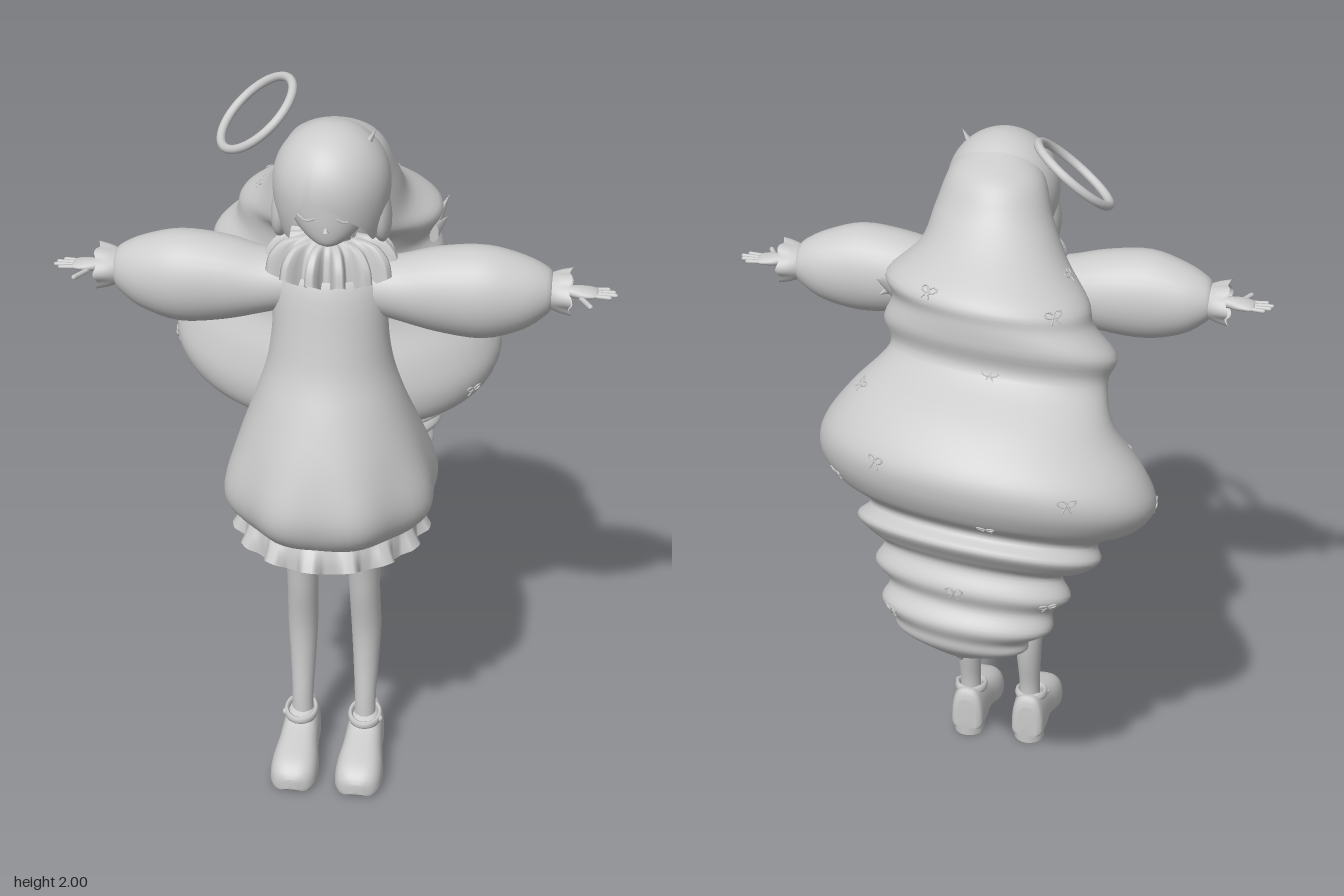
import * as THREE from 'three';

const mat = new THREE.MeshStandardMaterial({ color: 0xcccccc, side: THREE.DoubleSide, roughness: 0.8 });
const { sin, cos, PI, min, max } = Math;
const V = (x, y, z) => new THREE.Vector3(x, y, z);

function add(parent, name, geo, pos = [0, 0, 0], rot = [0, 0, 0], scale = [1, 1, 1]) {
  const m = new THREE.Mesh(geo, mat);
  m.name = name;
  m.position.set(...pos);
  m.rotation.set(...rot);
  m.scale.set(...scale);
  parent.add(m);
  return m;
}

// Smooth interpolation of a table of section parameters, t in 0..1
function keyAt(keys, t) {
  const n = keys.length - 1, f = min(t * n, n - 1e-6), i = Math.floor(f), u = f - i;
  const at = j => keys[max(0, min(n, j))];
  return keys[0].map((_, c) => {
    const [p, q, r, s] = [at(i - 1)[c], at(i)[c], at(i + 1)[c], at(i + 2)[c]];
    return q + 0.5 * u * (r - p + u * (2 * p - 5 * q + 4 * r - s + u * (3 * (q - r) + s - p)));
  });
}

// Skin closed rings; place(key, angle, t) gives each point
function loft(keys, place, { seg = 32, sub = 4, cap = false } = {}) {
  const rows = (keys.length - 1) * sub, pts = [], idx = [];
  for (let r = 0; r <= rows; r++) {
    const k = keyAt(keys, r / rows);
    for (let s = 0; s < seg; s++) pts.push(place(k, s / seg * 2 * PI, r / rows));
  }
  for (let r = 0; r < rows; r++) for (let s = 0; s < seg; s++) {
    const a = r * seg + s, b = r * seg + (s + 1) % seg;
    idx.push(a, a + seg, b, b, a + seg, b + seg);
  }
  if (cap) for (const r of [0, rows]) {
    const c = V(0, 0, 0), o = r * seg;
    for (let s = 0; s < seg; s++) c.addScaledVector(pts[o + s], 1 / seg);
    pts.push(c);
    for (let s = 0; s < seg; s++) {
      const a = o + s, b = o + (s + 1) % seg;
      idx.push(pts.length - 1, r ? b : a, r ? a : b);
    }
  }
  // turn the faces outwards
  const mid = pts.reduce((m, p) => m.addScaledVector(p, 1 / pts.length), V(0, 0, 0));
  let vol = 0;
  for (let i = 0; i < idx.length; i += 3) {
    const [a, b, c] = [0, 1, 2].map(j => pts[idx[i + j]].clone().sub(mid));
    vol += a.dot(b.cross(c));
  }
  if (vol < 0) idx.reverse();
  const g = new THREE.BufferGeometry().setFromPoints(pts);
  g.setIndex(idx);
  g.computeVertexNormals();
  return g;
}

// Long coiled hair: y, cx, cz, rx, rz, tilt
const HAIR = [
  [1.94, 0, .16, .03, .03, 0], [1.88, 0, .12, .12, .12, .1], [1.78, 0, .07, .16, .14, .2],
  [1.69, -.01, .02, .2, .17, .3], [1.63, -.01, -.07, .275, .19, .2], [1.57, -.03, -.09, .275, .185, .25],
  [1.5, -.05, -.1, .32, .18, .3], [1.43, -.05, -.12, .3, .155, .25], [1.34, -.02, -.19, .36, .22, .2],
  [1.24, -.03, -.22, .44, .28, .2], [1.15, -.04, -.22, .465, .29, .25], [1.07, -.04, -.22, .42, .26, .3],
  [1.02, -.04, -.25, .32, .19, .38], [.985, -.03, -.28, .34, .2, .4], [.95, -.03, -.295, .3, .155, .4],
  [.925, -.02, -.3, .25, .125, .35], [.87, -.02, -.31, .275, .145, .3], [.825, -.02, -.325, .23, .12, .28],
  [.775, -.01, -.342, .24, .135, .25], [.735, 0, -.35, .19, .11, .22], [.7, 0, -.352, .18, .1, .2],
  [.668, 0, -.36, .09, .05, .1], [.655, 0, -.37, .025, .02, 0], [.64, 0, -.375, .006, .006, 0]];
const hairPoint = ([y, cx, cz, rx, rz, tilt], a) =>
  V(cx + rx * cos(a), y - tilt * rz * sin(a) + .03 * rx * cos(a), cz + rz * sin(a) + .12 * rx * cos(a));

function addBow(parent, t, a) {
  const p = hairPoint(keyAt(HAIR, t), a);
  const du = hairPoint(keyAt(HAIR, t), a + .03).sub(p), dv = hairPoint(keyAt(HAIR, t + .004), a).sub(p);
  const n = du.cross(dv).normalize();
  const bow = new THREE.Group();
  bow.name = 'hairBow';
  for (const s of [-1, 1]) {
    add(bow, 'bowLoop', new THREE.TorusGeometry(.01, .0025, 5, 14), [s * .012, .004, 0], [0, 0, s * .4], [1.2, .8, 1]);
    add(bow, 'bowTail', new THREE.CapsuleGeometry(.0025, .018, 2, 5), [s * .007, -.012, 0], [0, 0, s * .5]);
  }
  const out = n.dot(V(cos(a), 0, sin(a))) < 0 ? n.negate() : n;
  bow.position.copy(p);
  bow.lookAt(p.clone().add(out));
  parent.add(bow);
}

function addHead(g) {
  const ringY = ([y, cz, rx, rz], a) => V(rx * cos(a), y, cz + rz * sin(a));
  add(g, 'face', loft([[1.65, .268, .01, .01], [1.665, .25, .045, .05], [1.7, .23, .085, .08], [1.75, .212, .112, .102],
    [1.82, .2, .12, .113], [1.89, .2, .1, .1], [1.94, .2, .03, .03]], ringY, { cap: true }));
  add(g, 'neck', new THREE.CylinderGeometry(.038, .045, .14, 20), [0, 1.63, .2]);
  add(g, 'nose', new THREE.ConeGeometry(.008, .025, 8), [0, 1.715, .309], [-.2, 0, 0]);
  for (const s of [-1, 1]) {
    const lid = new THREE.CatmullRomCurve3([V(s * .025, 1.742, .309), V(s * .05, 1.732, .304), V(s * .078, 1.744, .288)]);
    add(g, 'closedEye', new THREE.TubeGeometry(lid, 10, .003, 5));
    add(g, 'sideLock', new THREE.SphereGeometry(1, 20, 14), [s * .125, 1.725, .2], [0, 0, s * .12], [.03, .085, .055]);
  }
  const mouth = new THREE.CatmullRomCurve3([V(-.015, 1.685, .3), V(0, 1.681, .303), V(.015, 1.685, .3)]);
  add(g, 'mouth', new THREE.TubeGeometry(mouth, 8, .0025, 5));

  // Hair cap with a side parting: its lower edge rises over the face
  add(g, 'hairCap', loft([[0], [1]], (k, a, v) => {
    let d = a - PI / 2;
    if (d > PI) d -= 2 * PI;
    d = -d; // angle from the front, positive towards +x
    const edge = min(.95, d > -.3 ? .5 * (d + .3) + .25 * max(0, d) ** 2 : 1.7 * (-.3 - d)) - .06;
    const phi = v * PI / 2 * (1 + edge), t = max(0, phi / (PI / 2) - 1);
    const r = t > 0 ? 1 - .2 * t * t : sin(phi);
    return V(.152 * r * cos(a), 1.8 + (t > 0 ? -.15 * t : .155 * cos(phi)), .19 + .16 * r * sin(a));
  }, { seg: 64, sub: 24 }));
  add(g, 'hairTuft', new THREE.ConeGeometry(.014, .06, 8), [.1, 1.92, .2], [0, 0, -.5]);
}

function addDress(g) {
  // y, cz, rx, rz, flute depth
  add(g, 'dress', loft([[1.64, .2, .05, .05, 0], [1.6, .2, .1, .08, 0], [1.54, .215, .145, .105, 0], [1.4, .225, .153, .125, 0],
    [1.3, .225, .168, .15, 0], [1.2, .225, .2, .195, 0], [1.08, .213, .245, .258, .01], [.97, .205, .282, .298, .025],
    [.9, .2, .284, .296, .03], [.85, .2, .25, .262, .02], [.835, .2, .22, .23, .01]],
  ([y, cz, rx, rz, f], a) => {
    const k = 1 + f * cos(8 * a + PI);
    return V(rx * k * cos(a), y, cz + rz * k * sin(a));
  }, { seg: 64 }));
  // frills: y, cz, rx, rz, wave depth
  const frill = n => ([y, cz, rx, rz, w], a) => {
    const c = max(-.6, min(.6, 1.6 * cos(n * a))) * w;
    return V((rx + c) * cos(a), y + c * .6, cz + (rz + c) * sin(a));
  };
  add(g, 'hemFrill', loft([[.855, .2, .235, .245, 0], [.82, .2, .245, .262, .012], [.785, .2, .255, .272, .026]], frill(15), { seg: 150 }));
  add(g, 'collarFrill', loft([[1.655, .2, .065, .065, 0], [1.64, .2, .12, .1, .015], [1.6, .205, .148, .118, .03],
    [1.555, .21, .156, .122, .034]], frill(14), { seg: 168 }));
}

function addArm(g, s) {
  const arm = new THREE.Group();
  arm.name = s > 0 ? 'leftArm' : 'rightArm';
  const ringX = ([x, cy, cz, ry, rz], a) => V(s * x, cy + ry * sin(a), cz + rz * cos(a));
  add(arm, 'puffSleeve', loft([[.06, 1.52, .205, .065, .07], [.17, 1.51, .198, .085, .09], [.28, 1.51, .196, .113, .105],
    [.4, 1.51, .198, .124, .108], [.5, 1.51, .19, .098, .09], [.56, 1.515, .184, .062, .062], [.575, 1.515, .18, .04, .045]], ringX));
  add(arm, 'cuffFrill', loft([[.565, 0], [.59, .6], [.62, 1]], ([x, w], a) => {
    const r = .045 + .013 * w + .004 * w * cos(6 * a);
    return V(s * (x + .004 * cos(6 * a) * w), 1.515 + r * sin(a), .18 + r * 1.1 * cos(a));
  }, { seg: 60 }));
  add(arm, 'hand', loft([[.55, 1.517, .18, .02, .022], [.61, 1.517, .18, .015, .019], [.645, 1.515, .18, .015, .029],
    [.675, 1.514, .178, .011, .031], [.69, 1.514, .177, .005, .026]], ringX, { seg: 20, cap: true }));
  for (let i = 0; i < 4; i++) {
    const len = [.04, .055, .05, .035][i];
    add(arm, 'finger', new THREE.CapsuleGeometry(.0058, len, 3, 8), [s * (.681 + len / 2), 1.513, .2 - i * .015], [0, s * (i - 1.5) * .08, PI / 2]);
  }
  add(arm, 'thumb', new THREE.CapsuleGeometry(.007, .055, 3, 8), [s * .66, 1.508, .226], [PI / 2, 0, -s * .5]);
  g.add(arm);
}

function addLeg(g, s) {
  const leg = new THREE.Group();
  leg.name = s > 0 ? 'leftLeg' : 'rightLeg';
  add(leg, 'leg', loft([[1, .07, .2, .06, .08], [.8, .084, .19, .053, .07], [.65, .086, .175, .046, .056], [.55, .087, .166, .043, .05],
    [.42, .09, .146, .042, .046], [.3, .09, .15, .036, .04], [.18, .09, .167, .03, .032], [.08, .09, .167, .033, .035]],
  ([y, cx, cz, rx, rz], a) => V(s * cx + rx * cos(a), y, cz + rz * sin(a)), { seg: 24 }));
  // Shoe: z, top, half width, bottom (arched between heel and toe)
  add(leg, 'shoe', loft([[.108, .13, .03, .03], [.12, .163, .046, .028], [.16, .155, .052, .028], [.21, .135, .054, .035],
    [.25, .118, .058, .024], [.31, .102, .067, .003], [.36, .086, .064, 0], [.39, .064, .046, .003], [.402, .045, .015, .015]],
  ([z, top, w, low], a) => {
    const up = max(0, sin(a)), c = cos(a), rim = low + .02;
    const y = sin(a) < 0 ? rim - .02 * min(1, -2 * sin(a)) : rim + (top - rim) * up ** .8;
    return V(s * .092 + w * Math.sign(c) * Math.abs(c) ** .7, y, z);
  }, { seg: 32, cap: true }));
  add(leg, 'heel', new THREE.CylinderGeometry(.047, .045, .034, 20), [s * .092, .017, .156]);
  add(leg, 'shoeStrap', new THREE.TorusGeometry(.042, .007, 8, 28), [s * .092, .14, .185], [PI / 2 + .2, 0, 0], [1, 1.15, 2]);
  add(leg, 'shoeBuckle', new THREE.SphereGeometry(.011, 10, 8), [s * .134, .137, .2]);
  g.add(leg);
}

export function createModel() {
  const g = new THREE.Group();
  addHead(g);
  add(g, 'coiledHair', loft(HAIR, hairPoint, { seg: 64, sub: 5, cap: true }));
  // small bows scattered over the hair: position along the coil, angle
  for (const [t, a] of [[.18, -2.4], [.17, -1.1], [.14, 3.3], [.3, -1.6], [.34, -.4], [.36, .3], [.38, 2.7], [.4, -1], [.41, -2.2],
    [.44, 3.0], [.45, .5], [.46, -.5], [.49, -1.7], [.7, -1.5], [.71, -2.6], [.79, -.6]]) addBow(g, t, a);
  // flicked ends at the side of the hair
  for (const [y, z, r] of [[1.61, -.08, -.9], [1.58, -.05, -1.5]])
    add(g, 'hairFlick', new THREE.ConeGeometry(.03, .1, 10), [.26, y, z], [r, 0, -.35], [.6, 1, 1]);
  addDress(g);
  add(g, 'hips', new THREE.SphereGeometry(1, 24, 16), [0, .98, .2], [0, 0, 0], [.14, .1, .11]);
  for (const s of [1, -1]) {
    addArm(g, s);
    addLeg(g, s);
  }
  // tilted ring floating beside the head
  const halo = add(g, 'halo', new THREE.TorusGeometry(.122, .012, 12, 64), [-.215, 1.913, .05]);
  halo.quaternion.setFromUnitVectors(V(0, 0, 1), V(-.6, .75, .25).normalize());
  return g;
}
